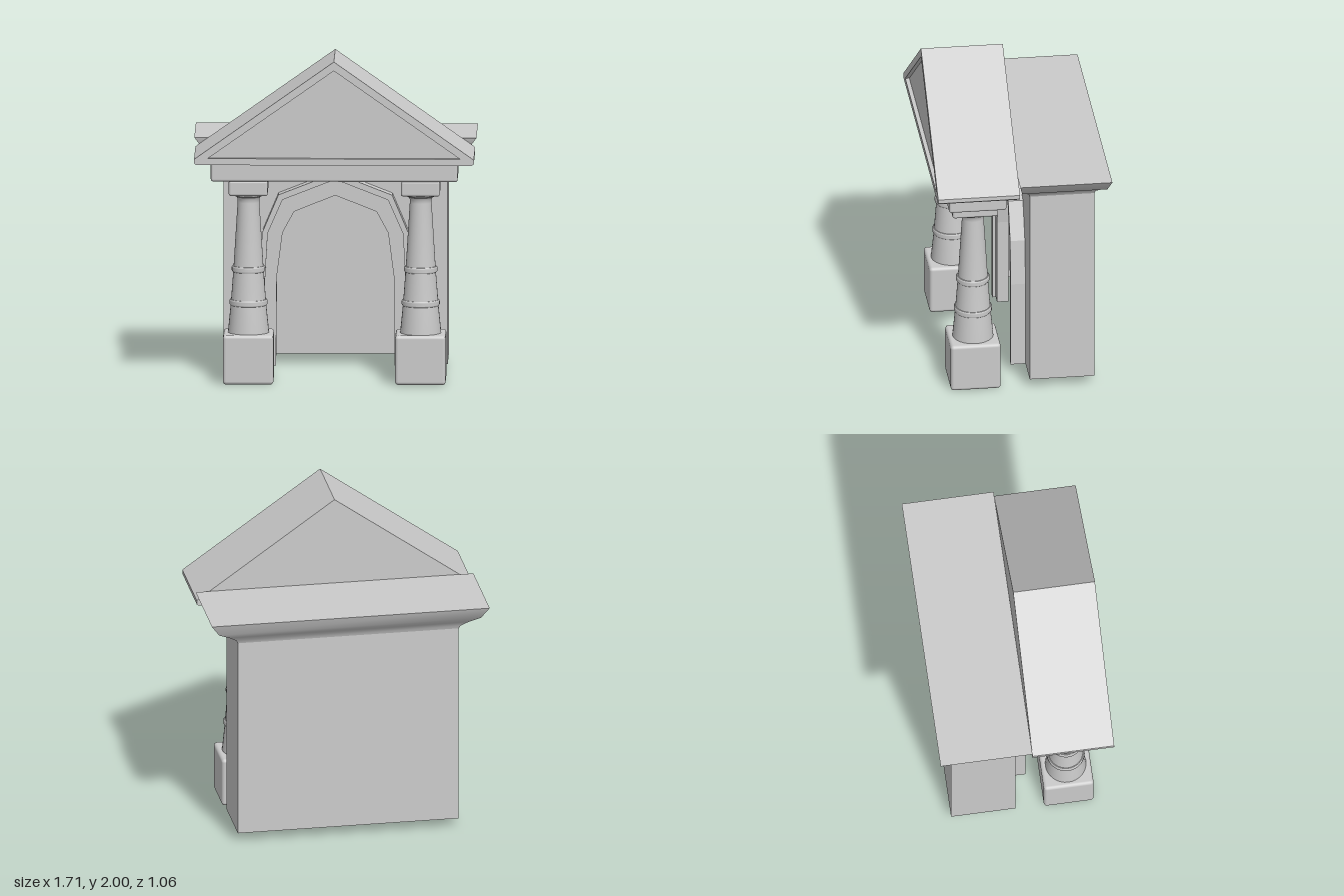
import * as THREE from 'three';
import { RoundedBoxGeometry } from 'three/addons/geometries/RoundedBoxGeometry.js';
import { toCreasedNormals } from 'three/addons/utils/BufferGeometryUtils.js';

const grey = new THREE.MeshStandardMaterial({ color: 0xcccccc, side: THREE.DoubleSide });

function add(parent, name, geometry, x = 0, y = 0, z = 0) {
  const mesh = new THREE.Mesh(geometry, grey);
  mesh.name = name;
  mesh.position.set(x, y, z);
  parent.add(mesh);
  return mesh;
}

// Rounded block given by its centre x, half width and its y and z ranges
function block(parent, name, x, halfX, y0, y1, z0, z1, r) {
  add(parent, name, new RoundedBoxGeometry(2 * halfX, y1 - y0, z1 - z0, 3, r),
    x, (y0 + y1) / 2, (z0 + z1) / 2);
}

// Right half of an outline, from the foot to the apex, mirrored to both sides
const mirrored = (half) => [
  ...half,
  ...half.filter(([x]) => x > 0).reverse().map(([x, y]) => [-x, y]),
].map(([x, y]) => new THREE.Vector2(x, y));

function extrude(points, depth, hole) {
  const shape = new THREE.Shape(points);
  if (hole) shape.holes.push(new THREE.Path(hole));
  return new THREE.ExtrudeGeometry(shape, { depth, bevelEnabled: false });
}

// Stacked rectangles [y, halfX, zBack, zFront] joined by walls and closed on top
function rectLoft(sections) {
  const pos = [];
  const ring = ([y, hx, zb, zf]) => [[-hx, y, zf], [hx, y, zf], [hx, y, zb], [-hx, y, zb]];
  const quad = (a, b, c, d) => pos.push(...a, ...b, ...c, ...a, ...c, ...d);
  for (let i = 0; i < sections.length - 1; i++) {
    const lo = ring(sections[i]), hi = ring(sections[i + 1]);
    for (let k = 0; k < 4; k++) {
      const n = (k + 1) % 4;
      quad(lo[k], lo[n], hi[n], hi[k]);
    }
  }
  quad(...ring(sections[sections.length - 1]));
  const g = new THREE.BufferGeometry();
  g.setAttribute('position', new THREE.Float32BufferAttribute(pos, 3));
  g.computeVertexNormals();
  return toCreasedNormals(g, 0.6);
}

function createColumn(side) {
  const column = new THREE.Group();
  column.name = side > 0 ? 'leftColumn' : 'rightColumn';
  const x = 0.522 * side, z = 0.278;
  block(column, 'pedestal', x, 0.153, 0, 0.302, 0.125, 0.43, 0.02);
  block(column, 'capital', x, 0.118, 1.155, 1.25, 0.14, 0.415, 0.015);

  // Tapered shaft with a flared neck
  const shaft = [[0.125, 0.29], [0.124, 0.31], [0.108, 0.47], [0.092, 0.68],
    [0.066, 1.1], [0.066, 1.12], [0.075, 1.135], [0.1, 1.145], [0.1, 1.16]];
  add(column, 'shaft', toCreasedNormals(new THREE.LatheGeometry(
    shaft.map(([r, y]) => new THREE.Vector2(r, y)), 32), 0.6), x, 0, z);

  // Rounded bands around the shaft
  for (const [y, r] of [[0.487, 0.104], [0.692, 0.09]]) {
    const band = [[r - 0.01, -0.018], [r + 0.006, -0.018], [r + 0.012, -0.01],
      [r + 0.012, 0.01], [r + 0.006, 0.018], [r - 0.01, 0.018]];
    add(column, 'band', toCreasedNormals(new THREE.LatheGeometry(
      band.map(([a, b]) => new THREE.Vector2(a, b)), 32), 0.9), x, y, z);
  }
  return column;
}

export function createModel() {
  const model = new THREE.Group();
  model.name = 'templePortal';

  for (const side of [1, -1]) model.add(createColumn(side));

  // Beam and gabled roof with a sunken front panel
  block(model, 'architrave', 0, 0.748, 1.25, 1.37, 0.1, 0.45, 0.015);
  const gable = mirrored([[0.835, 1.365], [0.848, 1.375], [0.848, 1.4], [0, 2]]);
  const panel = mirrored([[0.765, 1.405], [0, 1.945]]);
  add(model, 'gableBody', extrude(gable, 0.475), 0, 0, 0.03);
  add(model, 'gableFrame', extrude(gable, 0.025, panel), 0, 0, 0.505);

  // Hollow wall, open underneath, with an arched doorway in its front
  const foot = 0.055, top = 1.3;
  const opening = mirrored([[0.36, foot], [0.355, 0.6], [0.32, 0.87], [0.25, 1.0], [0, 1.1]]);
  const middle = mirrored([[0.425, foot], [0.425, 0.6], [0.41, 0.87], [0.32, 1.075], [0, 1.2]]);
  const outer = mirrored([[0.47, foot], [0.47, 0.6], [0.44, 0.88], [0.345, 1.105], [0, 1.24]]);
  const band = (inside, outside) => [
    ...outside, ...inside.slice().reverse(),
  ];
  const wall = new THREE.Group();
  wall.name = 'wall';
  model.add(wall);
  const wallFront = [
    new THREE.Vector2(0.68, foot), new THREE.Vector2(0.68, top),
    new THREE.Vector2(-0.68, top), new THREE.Vector2(-0.68, foot),
  ];
  add(wall, 'frontWall', new THREE.ShapeGeometry(new THREE.Shape(band(opening, wallFront))), 0, 0, -0.05);
  const height = top - foot, midY = (top + foot) / 2;
  add(wall, 'backWall', new THREE.PlaneGeometry(1.36, height), 0, midY, -0.445).rotation.y = Math.PI;
  for (const side of [1, -1]) {
    add(wall, 'sideWall', new THREE.PlaneGeometry(0.395, height), 0.68 * side, midY, -0.2475)
      .rotation.y = side * Math.PI / 2;
  }

  // Stepped arch surround
  add(model, 'archInner', extrude(band(opening, middle), 0.07), 0, 0, -0.05);
  add(model, 'archOuter', extrude(band(middle, outer), 0.09), 0, 0, -0.05);

  // Flared cornice on the wall
  add(model, 'cornice', rectLoft([
    [1.3, 0.68, -0.445, -0.05], [1.32, 0.69, -0.452, -0.044], [1.35, 0.735, -0.475, -0.02],
    [1.385, 0.805, -0.508, 0.012], [1.455, 0.855, -0.533, 0.029],
  ]));
  return model;
}
